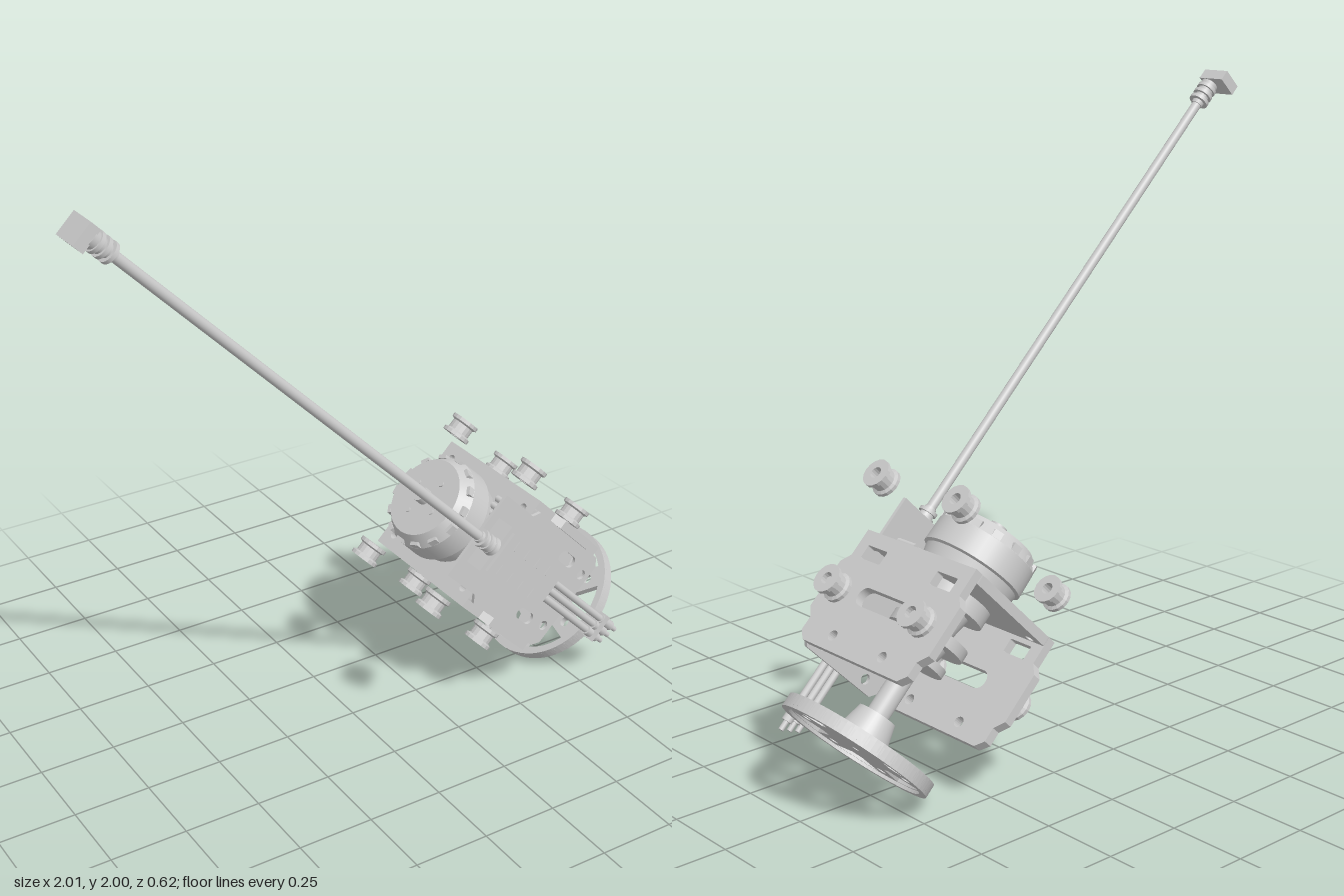
import * as THREE from 'three';

const mat = new THREE.MeshStandardMaterial({ color: 0xcccccc, side: THREE.DoubleSide });
const flat = new THREE.MeshStandardMaterial({ color: 0xcccccc, flatShading: true });
const T = 0.711, Z = -0.035; // drive axis height and depth in the tilted frame

export function createModel() {
  const model = new THREE.Group();
  // Everything is built along a horizontal axis (x), then tilted by 45 degrees.
  const unit = new THREE.Group();
  unit.name = 'driveUnit';
  unit.rotation.z = -Math.PI / 4;
  model.add(unit);

  const add = (name, geo, x, y, z, m = mat) => {
    const mesh = new THREE.Mesh(geo, m);
    mesh.name = name;
    mesh.position.set(x, y, z);
    unit.add(mesh);
    return mesh;
  };
  const box = (name, x0, x1, y, h, z0, z1) =>
    add(name, new THREE.BoxGeometry(x1 - x0, h, z1 - z0), (x0 + x1) / 2, y, (z0 + z1) / 2);
  const rod = (name, x0, x1, r0, r1, y, z, n = 24) =>
    add(name, new THREE.CylinderGeometry(r1, r0, x1 - x0, n).rotateZ(-Math.PI / 2), (x0 + x1) / 2, y, z);
  // Turned part along x; each segment is its own lathe so that edges stay sharp
  const turned = (name, pts, n = 40) => {
    for (let i = 0; i < pts.length - 1; i++) {
      const seg = [pts[i], pts[i + 1]].map(([x, r]) => new THREE.Vector2(r, x));
      add(name, new THREE.LatheGeometry(seg, n).rotateZ(-Math.PI / 2), 0, T, Z);
    }
  };

  // Shape helpers
  const poly = (pts) => new THREE.Shape(pts.map(([x, y]) => new THREE.Vector2(x, y)));
  const rounded = (x0, x1, y0, y1, r, P = THREE.Shape) => {
    const p = new P();
    p.absarc(x1 - r, y1 - r, r, 0, Math.PI / 2);
    p.absarc(x0 + r, y1 - r, r, Math.PI / 2, Math.PI);
    p.absarc(x0 + r, y0 + r, r, Math.PI, Math.PI * 1.5);
    p.absarc(x1 - r, y0 + r, r, Math.PI * 1.5, Math.PI * 2);
    p.closePath();
    return p;
  };
  const hole = (x, y, r) => new THREE.Path().absarc(x, y, r, 0, Math.PI * 2, true);
  const extrude = (shape, depth) =>
    new THREE.ExtrudeGeometry(shape, { depth, bevelEnabled: false, curveSegments: 10 });

  // Upper and lower side plates with lugs, slot, windows and bolt holes
  const half = [[-0.11, 0.248], [-0.02, 0.248], [0.01, 0.276], [0.17, 0.276], [0.2, 0.248], [0.245, 0.248], [0.27, 0.22]];
  const outline = [...half, ...half.map(([x, z]) => [x, -z]).reverse()];
  for (const side of [1, -1]) {
    const plate = poly(outline);
    plate.holes.push(rounded(0.055, 0.115, -0.12, 0.12, 0.029, THREE.Path));
    for (const k of [1, -1]) {
      plate.holes.push(hole(0.225, k * 0.115, 0.017));
      plate.holes.push(rounded(-0.065, -0.02, k * 0.16 - 0.045, k * 0.16 + 0.045, 0.004, THREE.Path));
    }
    add('sidePlate', extrude(plate, 0.03).rotateX(Math.PI / 2).translate(0, 0.015, 0), 0, T + side * 0.194, Z);
  }

  // Motor mounting plate across the axis
  const mount = rounded(-0.248, 0.248, -0.208, 0.208, 0.035);
  mount.holes.push(hole(0, 0, 0.06));
  for (const a of [1, -1]) for (const b of [1, -1]) mount.holes.push(hole(a * 0.2, b * 0.16, 0.014));
  add('motorPlate', extrude(mount, 0.03).rotateY(Math.PI / 2), -0.11, T, Z);

  // Thin front cover plate carrying the controller
  const cover = poly([[-0.26, -0.155], [-0.11, -0.155], [-0.09, -0.18], [0.25, -0.18], [0.275, -0.155],
    [0.275, 0.155], [0.25, 0.18], [-0.09, 0.18], [-0.11, 0.155], [-0.26, 0.155]]);
  for (const k of [1, -1]) {
    cover.holes.push(hole(0.24, k * 0.104, 0.017));
    cover.holes.push(rounded(0.1, 0.18, k * 0.115 - 0.02, k * 0.115 + 0.02, 0.018, THREE.Path));
  }
  add('coverPlate', extrude(cover, 0.012), 0, T, 0.213);

  // Motor body, vent slots, rear shaft and lead stubs
  turned('motorBody', [[-0.293, 0], [-0.293, 0.135], [-0.25, 0.163], [-0.17, 0.165], [-0.165, 0.155], [-0.11, 0.145]]);
  for (let i = 0; i < 14; i++) {
    const a = (i / 14) * Math.PI * 2;
    const slot = add('motorVent', new THREE.BoxGeometry(0.035, 0.012, 0.03), -0.257, T + Math.cos(a) * 0.156, Z + Math.sin(a) * 0.156);
    slot.rotation.x = a;
  }
  rod('motorRearShaft', -0.325, -0.29, 0.027, 0.027, T, Z);
  for (let i = 0; i < 4; i++) {
    const a = 0.4 + i * Math.PI / 2;
    rod('motorScrew', -0.298, -0.292, 0.01, 0.01, T + 0.07 * Math.cos(a), Z + 0.07 * Math.sin(a), 8);
  }
  for (let i = 0; i < 3; i++) {
    add('motorLead', new THREE.CylinderGeometry(0.011, 0.011, 0.08, 12).rotateX(Math.PI / 2), -0.13, T + 0.085 + i * 0.026, 0.11);
  }

  // Drive train between motor plate and wheel
  turned('gearHub', [[-0.08, 0], [-0.08, 0.12], [-0.03, 0.12], [-0.03, 0.075], [0.05, 0.06], [0.05, 0.125],
    [0.085, 0.125], [0.085, 0.07], [0.13, 0.06], [0.13, 0.1], [0.155, 0.1], [0.155, 0.035],
    [0.34, 0.035], [0.34, 0.06], [0.42, 0.08]]);

  // Wheel with six arms
  const wheel = new THREE.Shape().absarc(0, 0, 0.245, 0, Math.PI * 2);
  wheel.holes.push(hole(0, 0, 0.012));
  const deg = Math.PI / 180;
  for (let i = 0; i < 6; i++) {
    const arm = (18 + i * 60) * deg, mid = arm + 30 * deg;
    wheel.holes.push(hole(0.168 * Math.cos(arm), 0.168 * Math.sin(arm), 0.016));
    const gap = new THREE.Path();
    gap.absarc(0, 0, 0.216, mid - 20 * deg, mid + 20 * deg);
    gap.lineTo(0.12 * Math.cos(mid + 8 * deg), 0.12 * Math.sin(mid + 8 * deg));
    gap.lineTo(0.12 * Math.cos(mid - 8 * deg), 0.12 * Math.sin(mid - 8 * deg));
    gap.closePath();
    wheel.holes.push(gap);
  }
  const disc = new THREE.ExtrudeGeometry(wheel, { depth: 0.022, bevelEnabled: false, curveSegments: 48 });
  add('wheelDisc', disc.rotateY(Math.PI / 2), 0.432, T, Z);
  const rim = new THREE.Shape().absarc(0, 0, 0.245, 0, Math.PI * 2);
  rim.holes.push(hole(0, 0, 0.222));
  add('wheelRim', new THREE.ExtrudeGeometry(rim, { depth: 0.042, bevelEnabled: false, curveSegments: 32 }).rotateY(Math.PI / 2), 0.422, T, Z);

  // Flanged rollers: four on the plates, four standing clear behind them
  const profile = [[0.019, -0.031], [0.047, -0.031], [0.047, -0.019], [0.037, -0.014], [0.037, 0.014],
    [0.047, 0.019], [0.047, 0.031], [0.019, 0.031], [0.019, -0.031]].map(([r, y]) => new THREE.Vector2(r, y));
  const roller = new THREE.LatheGeometry(profile, 16);
  for (const side of [1, -1]) {
    for (const z of [0.165, -0.225]) {
      add('plateRoller', roller, 0.092, T + side * 0.247, z, flat);
      add('rollerBolt', new THREE.CylinderGeometry(0.013, 0.013, 0.07, 10), 0.092, T + side * 0.23, z);
    }
    for (const z of [0.245, -0.125]) add('freeRoller', roller, -0.262, T + side * 0.25, z, flat);
  }

  // Controller box with raised lid and cooling ribs
  box('controllerBox', -0.23, 0.09, T, 0.17, 0.225, 0.295);
  box('controllerLid', -0.215, 0.075, T, 0.145, 0.295, 0.308);
  for (let i = 0; i < 4; i++) {
    for (const k of [1, -1]) box('controllerRib', -0.18 + i * 0.06, -0.16 + i * 0.06, T + k * 0.045, 0.035, 0.308, 0.313);
  }

  // Output leads ending in plugs
  for (const k of [-1, 0, 1]) {
    rod('outputLead', 0.09, 0.43, 0.012, 0.012, T + k * 0.029, 0.255, 12);
    rod('leadPlug', 0.4 + 0.012 * k, 0.465 + 0.012 * k, 0.017, 0.017, T + k * 0.029, 0.255, 12);
    rod('plugPin', 0.46 + 0.012 * k, 0.495 + 0.012 * k, 0.009, 0.009, T + k * 0.029, 0.255, 10);
  }
  box('leadClip', 0.415, 0.435, T, 0.1, 0.238, 0.272);

  // Long cable with strain reliefs and end connector
  rod('cable', -2.04, -0.23, 0.016, 0.016, T, 0.275);
  rod('cableRelief', -0.31, -0.23, 0.019, 0.032, T, 0.275);
  rod('connectorRelief', -2.055, -1.96, 0.03, 0.019, T, 0.275);
  for (let i = 0; i < 3; i++) {
    rod('reliefRing', -0.3 + i * 0.025, -0.288 + i * 0.025, 0.03, 0.03, T, 0.275);
    rod('reliefRing', -2.035 + i * 0.025, -2.023 + i * 0.025, 0.033, 0.033, T, 0.275);
  }
  box('connector', -2.087, -2.05, T - 0.006, 0.076, 0.2, 0.3);

  return model;
}
